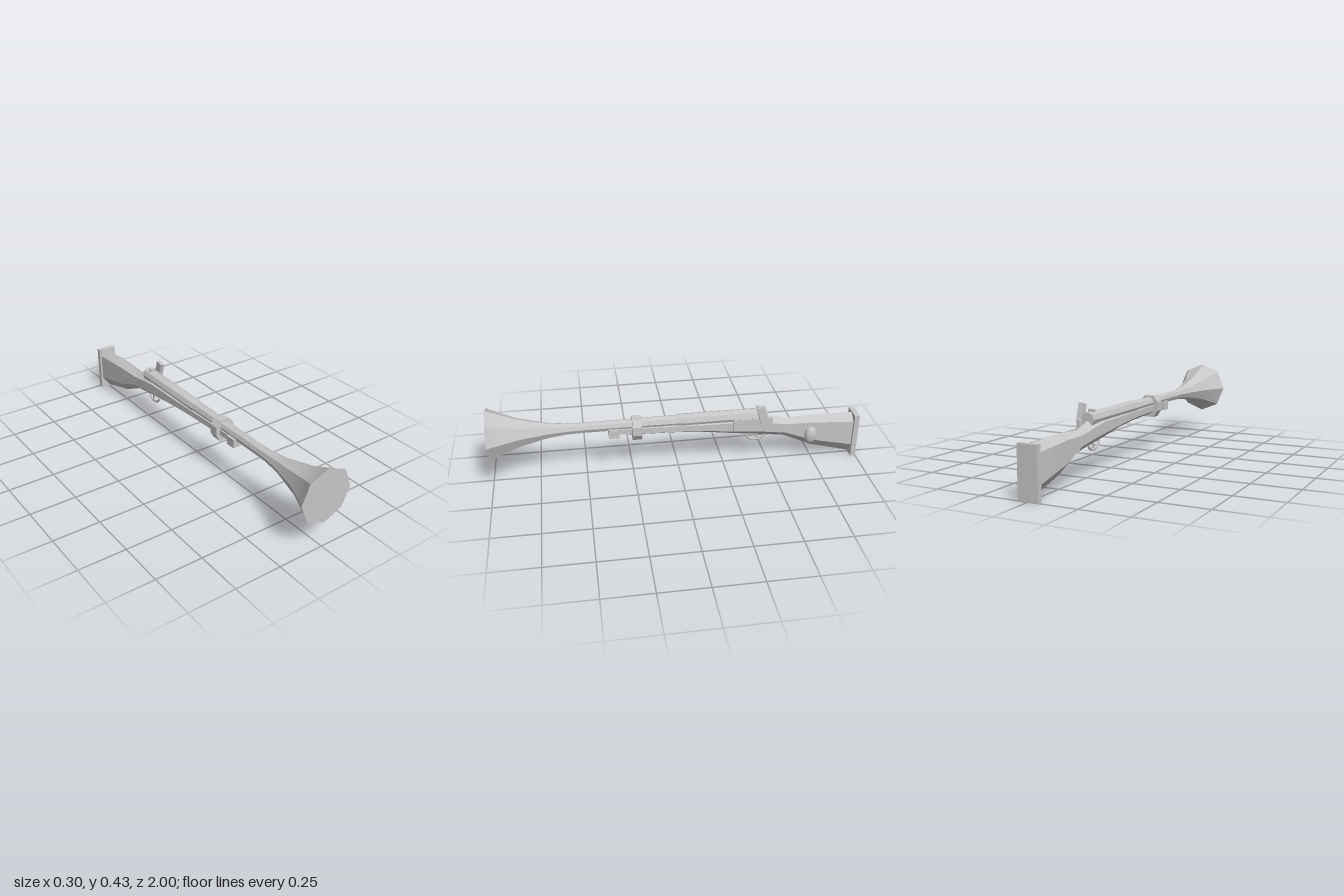
import * as THREE from 'three';
import { toCreasedNormals } from 'three/addons/utils/BufferGeometryUtils.js';

const metal = new THREE.MeshStandardMaterial({ color: 0xc6c6c6 });
metal.name = 'grey';

// Skin a list of closed rings (counter-clockwise from the front), capped at both ends
function loft(rings, crease, capEnd = true) {
  const n = rings[0].length, pos = rings.flat(2), idx = [];
  for (let i = 0; i < rings.length - 1; i++) {
    for (let j = 0; j < n; j++) {
      const k = (j + 1) % n, a = i * n + j, b = i * n + k;
      idx.push(a, a + n, b, b, a + n, b + n);
    }
  }
  const last = (rings.length - 1) * n;
  for (let j = 1; j < n - 1; j++) {
    idx.push(0, j, j + 1);
    if (capEnd) idx.push(last, last + j + 1, last + j);
  }
  const g = new THREE.BufferGeometry();
  g.setAttribute('position', new THREE.Float32BufferAttribute(pos, 3));
  g.setIndex(idx);
  return toCreasedNormals(g, crease);
}

// Octagon with a corner at the top
const octagon = ([z, r, y = 0.285]) => Array.from({ length: 8 }, (_, i) => {
  const a = i * Math.PI / 4;
  return [r * Math.cos(a), y + r * Math.sin(a), z];
});

export function createModel() {
  const group = new THREE.Group();
  const add = (name, geometry, x = 0, y = 0, z = 0) => {
    const m = new THREE.Mesh(geometry, metal);
    m.name = name;
    m.position.set(x, y, z);
    group.add(m);
    return m;
  };
  const box = (name, w, h, d, x, y, z) => add(name, new THREE.BoxGeometry(w, h, d), x, y, z);

  // Hollow of the bell, closing deep inside, and its flat rim
  add('bellHollow', loft([
    [0.74, 0.006, 0.318], [0.76, 0.03, 0.3], [0.83, 0.062, 0.29], [0.91, 0.085], [1, 0.115],
  ].map(octagon), 0.9, false));
  add('bellRim', loft([[1, 0.115], [1, 0.148]].map(octagon), 0.3, false).clone());

  // Barrel with flared bell
  add('barrel', loft([
    [1, 0.148], [0.99, 0.139], [0.85, 0.08], [0.7, 0.043], [0.6, 0.031],
    [0.5, 0.028], [0.22, 0.03], [0, 0.033],
  ].map(octagon), 0.45));
  add('breech', loft([[0.015, 0.03], [-0.01, 0.037], [-0.485, 0.037]].map(octagon), 0.45));

  // Stock: [z, half width, bottom, lower corner, upper corner, top]
  const stock = [
    [0.33, 0.028, 0.226, 0.242, 0.27, 0.28],
    [0.25, 0.03, 0.22, 0.24, 0.27, 0.28],
    [0, 0.036, 0.212, 0.235, 0.268, 0.28],
    [-0.15, 0.04, 0.2, 0.228, 0.266, 0.28],
    [-0.38, 0.04, 0.168, 0.205, 0.262, 0.285],
    [-0.47, 0.039, 0.158, 0.195, 0.25, 0.285],
    [-0.59, 0.034, 0.141, 0.175, 0.228, 0.25],
    [-0.74, 0.04, 0.07, 0.12, 0.23, 0.26],
    [-0.97, 0.043, 0.008, 0.07, 0.215, 0.254],
  ].map(([z, w, b, l, u, t]) => [
    [0, b, z], [w, l, z], [w, u, z], [0, t, z], [-w, u, z], [-w, l, z],
  ]);
  add('stock', loft(stock, 0.5));
  box('buttPlate', 0.105, 0.256, 0.028, 0, 0.128, -0.986);

  // Barrel band and the small clamp ahead of it
  add('barrelBand', loft([0.25, 0.2].map(z => [
    [-0.03, 0.203, z], [0.03, 0.203, z], [0.054, 0.24, z], [0.054, 0.29, z],
    [0.028, 0.321, z], [-0.028, 0.321, z], [-0.054, 0.29, z], [-0.054, 0.24, z],
  ]), 0.3));
  box('frontClamp', 0.08, 0.048, 0.055, 0, 0.251, 0.348);

  // Lock plate, hammer and sight
  box('lockPlate', 0.022, 0.063, 0.215, 0.038, 0.252, -0.4);
  const hammer = box('hammer', 0.023, 0.1, 0.043, 0.054, 0.308, -0.45);
  hammer.rotation.x = 0.27;
  box('rearSight', 0.032, 0.014, 0.018, 0, 0.325, -0.44);

  // Trigger guard and trigger
  const arc = Array.from({ length: 9 }, (_, i) => {
    const a = i * Math.PI / 8;
    return new THREE.Vector3(0, 0.168 - 0.038 * Math.sin(a), -0.428 + 0.052 * Math.cos(a));
  });
  add('triggerGuard', new THREE.TubeGeometry(new THREE.CatmullRomCurve3(arc), 16, 0.007, 6));
  box('trigger', 0.008, 0.03, 0.01, 0, 0.153, -0.43);

  // Oval boss on the side of the butt
  const boss = add('sideBoss', new THREE.SphereGeometry(1, 14, 8), 0.043, 0.155, -0.73);
  boss.scale.set(0.023, 0.052, 0.034);

  return group;
}
